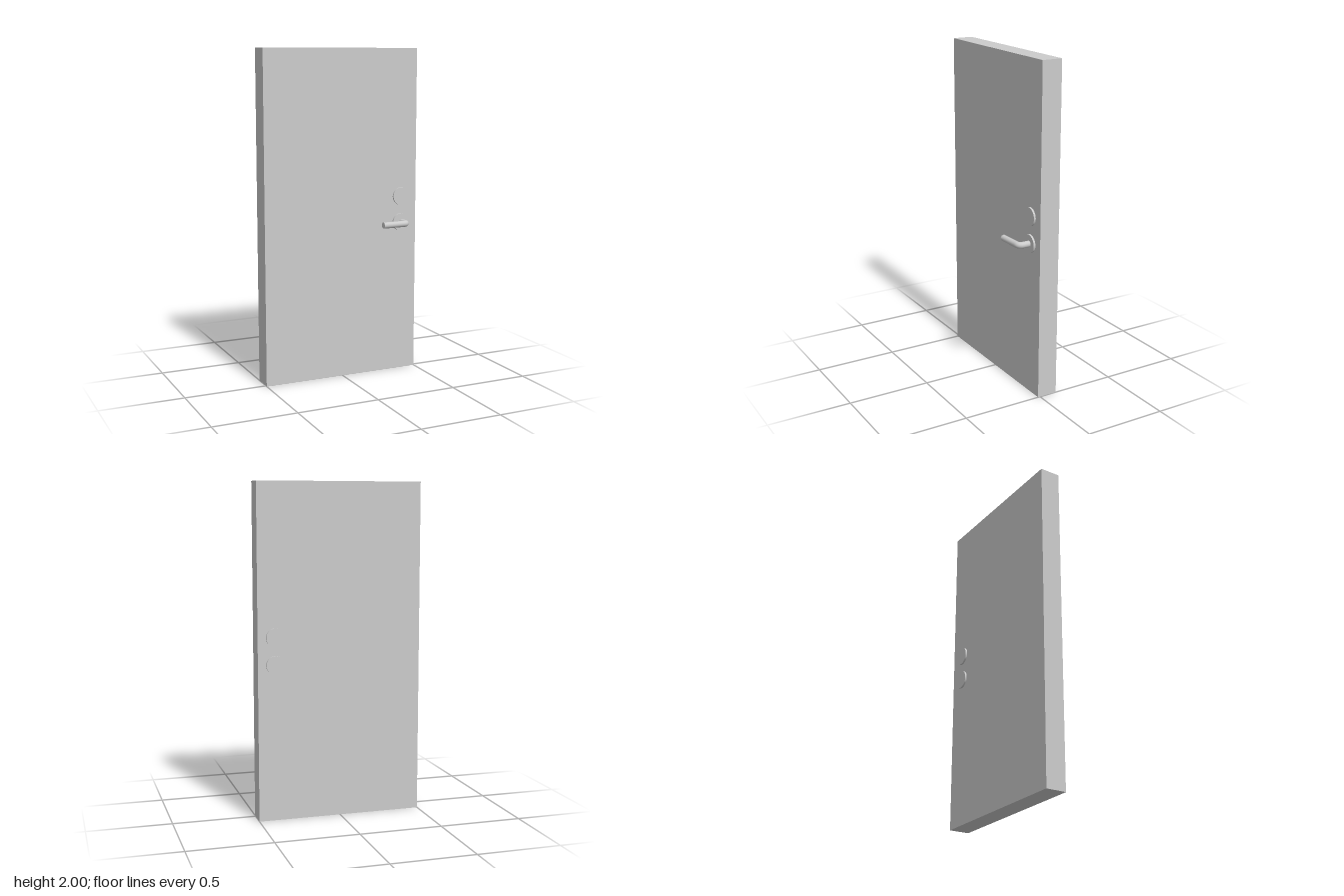
import * as THREE from 'three';

export function createModel() {
  const group = new THREE.Group();
  const material = new THREE.MeshStandardMaterial({ color: 0xcccccc });
  const add = (name, geometry, x, y, z) => {
    const mesh = new THREE.Mesh(geometry, material);
    mesh.name = name;
    mesh.position.set(x, y, z);
    group.add(mesh);
    return mesh;
  };

  const front = 0.014, back = -0.111;
  const plateX = 0.396, lockY = 1.098, handleY = 0.936;

  // Door slab
  add('doorPanel', new THREE.BoxGeometry(1, 2, front - back), 0, 1, (front + back) / 2);

  // Round plates on both faces, sunk slightly into the slab
  const plate = new THREE.CylinderGeometry(0.055, 0.055, 0.016, 48).rotateX(Math.PI / 2);
  for (const [side, z] of [['front', front + 0.004], ['back', back - 0.003]]) {
    add(side + 'LockPlate', plate, plateX, lockY, z);
    add(side + 'HandlePlate', plate, plateX, handleY, z);
  }

  // Lever handle: short shaft, rounded elbow, then the grip
  const elbow = new THREE.Vector3(0.4, 0, 0.0915);
  const bendStart = new THREE.Vector3(0.4, 0, 0.067);
  const bendEnd = new THREE.Vector3(0.376, 0, 0.0925);
  const tip = new THREE.Vector3(0.235, 0, 0.097);
  const path = new THREE.CurvePath();
  path.add(new THREE.LineCurve3(new THREE.Vector3(0.4, 0, front), bendStart));
  path.add(new THREE.QuadraticBezierCurve3(bendStart, elbow, bendEnd));
  path.add(new THREE.LineCurve3(bendEnd, tip));
  const radius = 0.019;
  add('leverHandle', new THREE.TubeGeometry(path, 64, radius, 24), 0, handleY, 0);

  // Flat end of the grip
  const cap = add('leverEnd', new THREE.CircleGeometry(radius, 24), tip.x, handleY, tip.z);
  const out = tip.clone().sub(bendEnd).normalize();
  cap.quaternion.setFromUnitVectors(new THREE.Vector3(0, 0, 1), out);

  return group;
}
